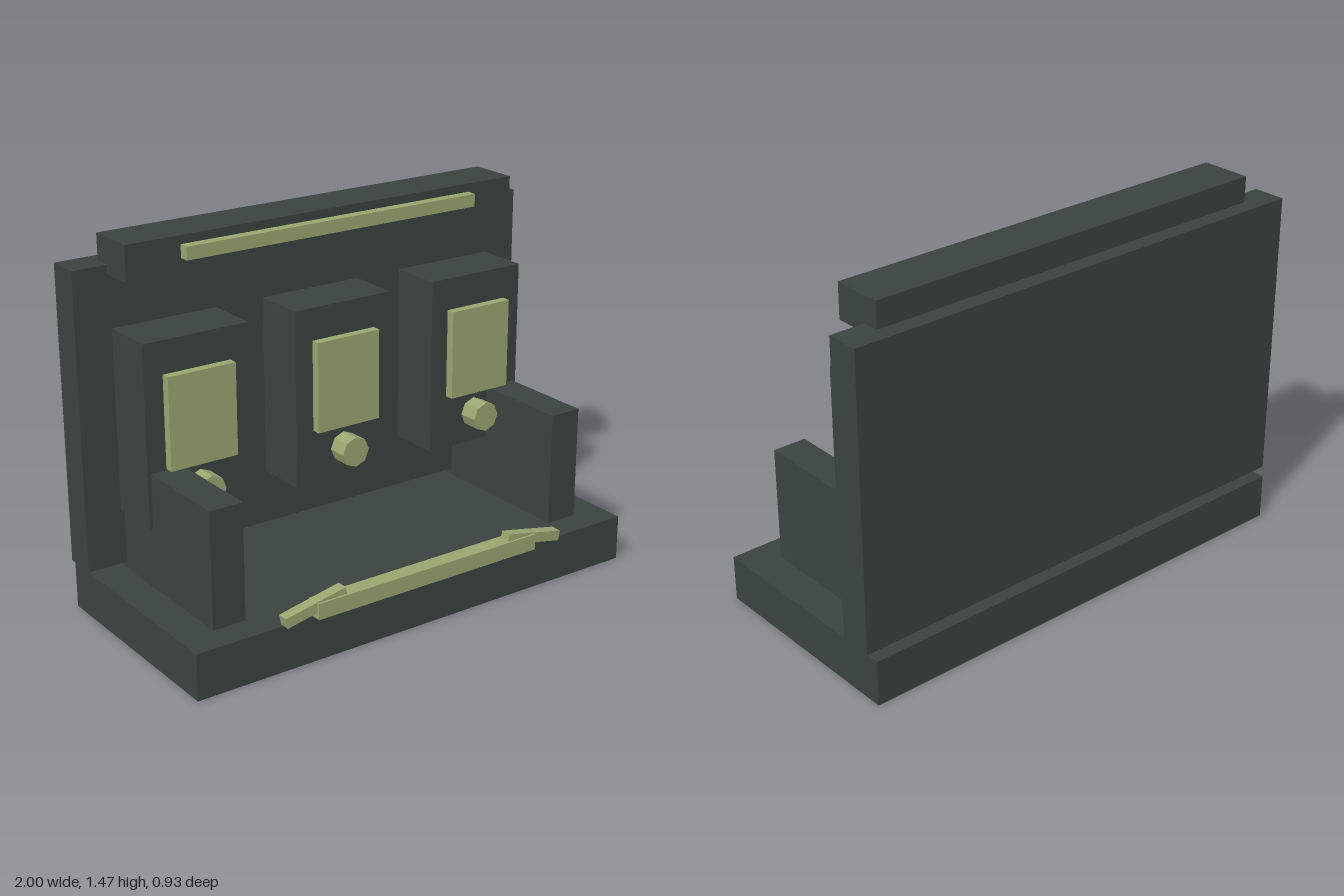
import * as THREE from 'three';

const dark = new THREE.MeshStandardMaterial({ color: 0x3a4340, flatShading: true });
const green = new THREE.MeshStandardMaterial({ color: 0x99a66f, flatShading: true });

// Box given by its [min, max] range on each axis
function box(name, material, [x0, x1], [y0, y1], [z0, z1]) {
  const mesh = new THREE.Mesh(new THREE.BoxGeometry(x1 - x0, y1 - y0, z1 - z0), material);
  mesh.position.set((x0 + x1) / 2, (y0 + y1) / 2, (z0 + z1) / 2);
  mesh.name = name;
  return mesh;
}

export function createModel() {
  const model = new THREE.Group();
  model.name = 'consoleBooth';

  // Floor, rear wall and overhead beam with its light strip
  model.add(
    box('base', dark, [-0.976, 0.976], [0, 0.182], [-0.464, 0.42]),
    box('backWall', dark, [-1, 1], [0.208, 1.364], [-0.44, -0.308]),
    box('topBeam', dark, [-0.862, 0.862], [1.33, 1.466], [-0.374, -0.172]),
    box('lightStrip', green, [-0.645, 0.645], [1.386, 1.436], [-0.163, -0.122])
  );

  // Three consoles, each with a screen and a round knob
  for (const x of [-0.637, 0, 0.637]) {
    const bay = new THREE.Group();
    bay.name = 'console';
    bay.position.x = x;
    const knob = new THREE.Mesh(new THREE.CylinderGeometry(0.06, 0.06, 0.09, 8), green);
    knob.name = 'knob';
    knob.rotation.x = Math.PI / 2;
    knob.position.set(0, 0.548, -0.056);
    bay.add(
      box('cabinet', dark, [-0.217, 0.217], [0.424, 1.127], [-0.32, -0.092]),
      box('screen', green, [-0.14, 0.14], [0.642, 1.0], [-0.1, -0.056]),
      knob
    );
    model.add(bay);
  }

  // Front trim: straight bar with a sloping bar at each end
  model.add(box('frontBar', green, [-0.5, 0.5], [0.186, 0.249], [0.4, 0.464]));
  for (const side of [-1, 1]) {
    const tip = box('slopingBar', green, [-0.13, 0.13], [-0.02, 0.02], [0.411, 0.455]);
    tip.position.x = side * 0.502;
    tip.position.y = 0.232;
    tip.rotation.z = -side * 0.2;
    model.add(tip);

    // Side walls standing on the base
    const arm = box('sideWall', dark, [-0.067, 0.067], [0.18, 0.636], [-0.35, 0.306]);
    arm.position.x = side * 0.773;
    model.add(arm);
  }
  return model;
}
